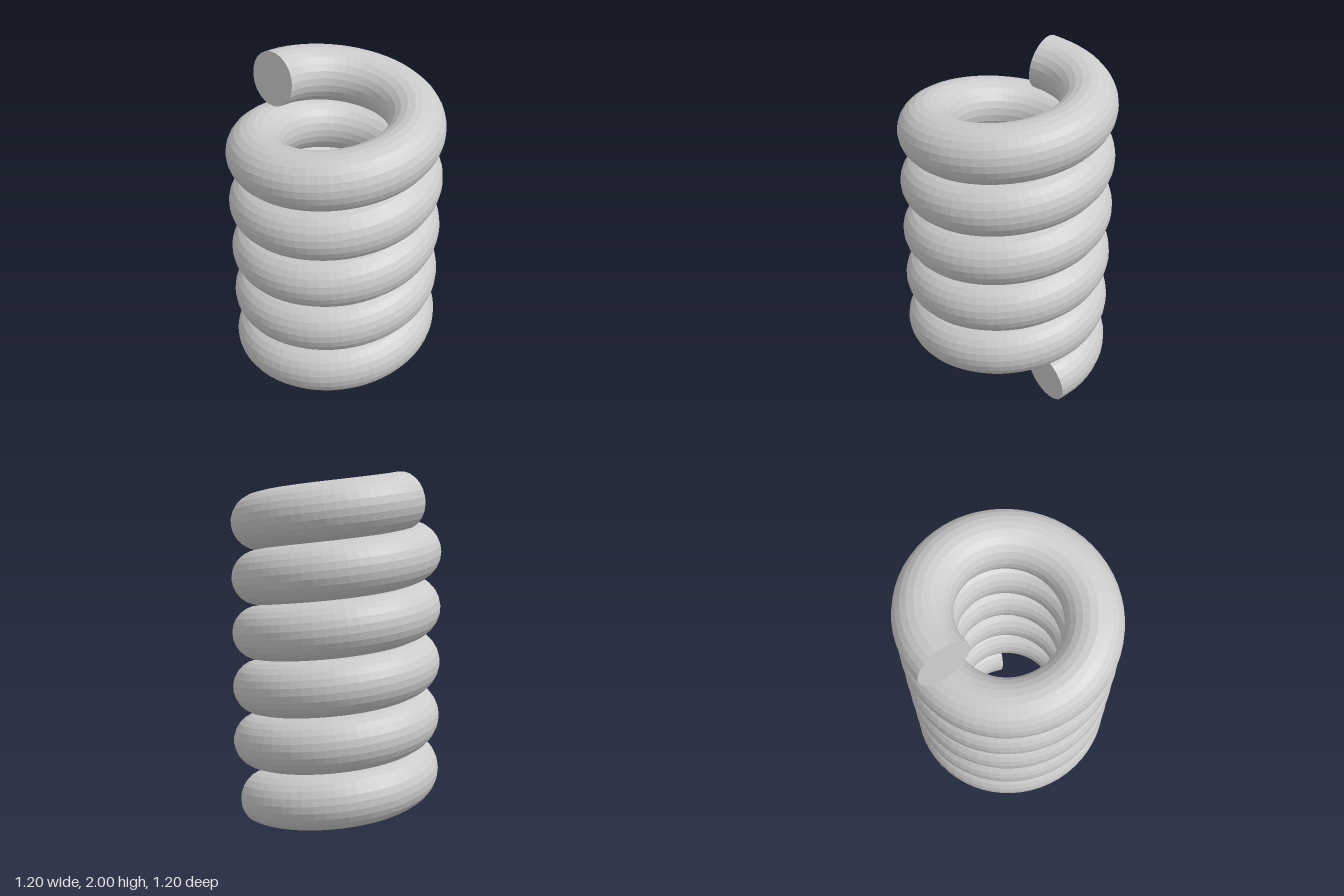
import * as THREE from 'three';

const COIL_RADIUS = 0.443;
const WIRE_RADIUS = 0.157;
const TURNS = 16 / 3;
const STEPS = 160;
const SIDES = 24;

// Centre line of the wire: a helix rising from +x towards the back
function helix() {
  const points = [];
  const bottom = WIRE_RADIUS * 0.994;
  const rise = 2 - 2 * bottom;
  for (let i = 0; i <= STEPS; i++) {
    const t = i / STEPS;
    const a = t * TURNS * Math.PI * 2;
    points.push(new THREE.Vector3(
      COIL_RADIUS * Math.cos(a), bottom + rise * t, -COIL_RADIUS * Math.sin(a)));
  }
  const curve = new THREE.CatmullRomCurve3(points);
  curve.arcLengthDivisions = 1600;
  return curve;
}

// Flat disc that closes one end ring of the tube
function endCap(tube, ring, center, flip) {
  const source = tube.attributes.position;
  const positions = [center.x, center.y, center.z];
  const index = [];
  for (let j = 0; j <= SIDES; j++) {
    const k = ring * (SIDES + 1) + j;
    positions.push(source.getX(k), source.getY(k), source.getZ(k));
    if (j < SIDES) index.push(0, ...(flip ? [j + 2, j + 1] : [j + 1, j + 2]));
  }
  const geometry = new THREE.BufferGeometry();
  geometry.setAttribute('position', new THREE.Float32BufferAttribute(positions, 3));
  geometry.setIndex(index);
  geometry.computeVertexNormals();
  return geometry;
}

export function createModel() {
  const group = new THREE.Group();
  group.name = 'coilSpring';
  const material = new THREE.MeshStandardMaterial({ color: 0xcccccc, flatShading: true });
  const add = (name, geometry) => {
    const mesh = new THREE.Mesh(geometry, material);
    mesh.name = name;
    group.add(mesh);
  };

  // Coiled wire
  const path = helix();
  const rings = STEPS * 2;
  const tube = new THREE.TubeGeometry(path, rings, WIRE_RADIUS, SIDES, false);
  add('coil', tube);

  // Cut faces at both ends
  add('bottomEnd', endCap(tube, 0, path.getPoint(0), false));
  add('topEnd', endCap(tube, rings, path.getPoint(1), true));
  return group;
}
